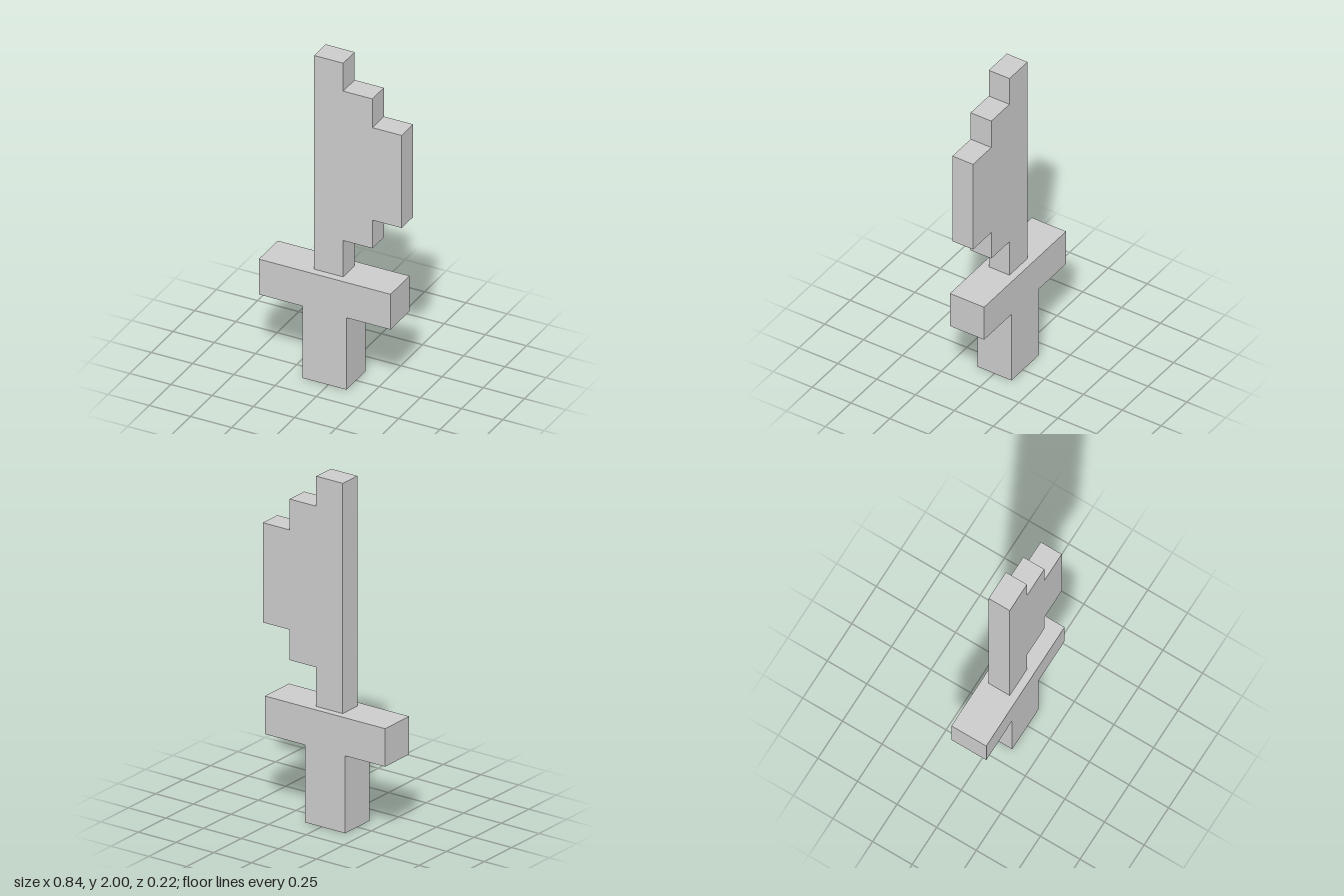
import * as THREE from 'three';

const material = new THREE.MeshStandardMaterial({ color: 0xcccccc, flatShading: true });

// Extrude a front outline between two depths
function slab(name, points, zBack, zFront) {
  const shape = new THREE.Shape(points.map(([x, y]) => new THREE.Vector2(x, y)));
  const geometry = new THREE.ExtrudeGeometry(shape, { depth: zFront - zBack, bevelEnabled: false });
  geometry.translate(0, 0, zBack);
  const mesh = new THREE.Mesh(geometry, material);
  mesh.name = name;
  return mesh;
}

export function createModel() {
  const model = new THREE.Group();
  model.name = 'steppedSword';

  // Grip and crossguard share one T-shaped outline
  model.add(slab('gripAndGuard', [
    [-0.157, 0], [0.11, 0], [0.11, 0.448], [0.377, 0.448],
    [0.377, 0.668], [-0.422, 0.668], [-0.422, 0.448], [-0.157, 0.448],
  ], -0.11, 0.11));

  // Blade with a straight back and a stepped edge
  model.add(slab('blade', [
    [-0.11, 0.668], [0.066, 0.668], [0.066, 0.894], [0.243, 0.894],
    [0.243, 1.07], [0.421, 1.07], [0.421, 1.647], [0.243, 1.647],
    [0.243, 1.826], [0.066, 1.826], [0.066, 2], [-0.11, 2],
  ], -0.068, 0.065));

  return model;
}
